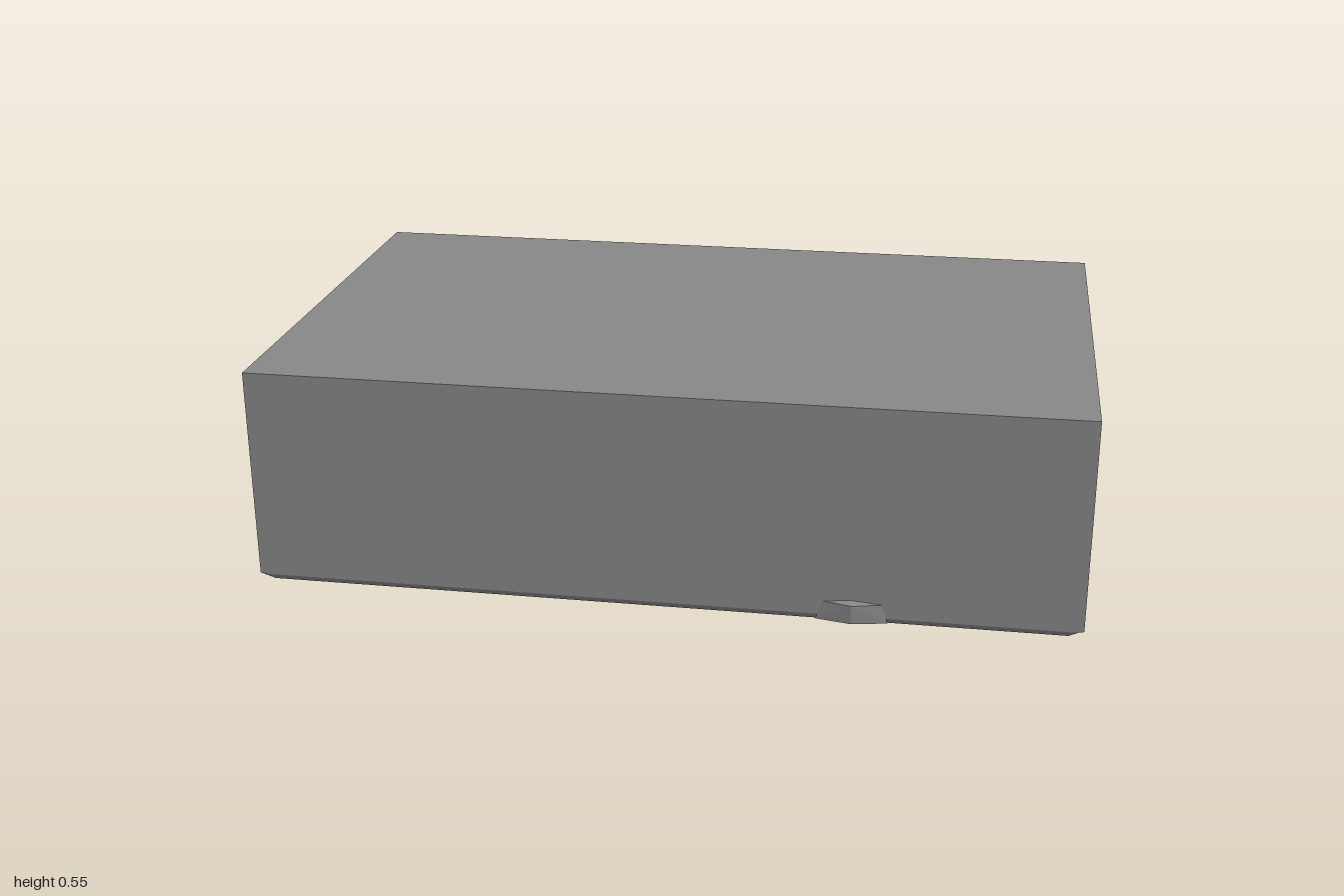
import * as THREE from 'three';
import { ConvexGeometry } from 'three/addons/geometries/ConvexGeometry.js';

const FRONT = 0.6, BACK = -0.615, TOP = 0.55, SEAM = 0.04;

// Arch-shaped cross-section, open at the bottom, extruded along x
function archSlice(x0, x1, z0, z1, ceiling) {
  const s = new THREE.Shape();
  const pts = [[BACK, SEAM], [z0, SEAM], [z0, ceiling], [z1, ceiling], [z1, SEAM], [FRONT, SEAM], [FRONT, TOP], [BACK, TOP]];
  // shape x becomes -z after the turn
  pts.forEach(([z, y], i) => (i ? s.lineTo(-z, y) : s.moveTo(-z, y)));
  s.closePath();
  const g = new THREE.ExtrudeGeometry(s, { depth: x1 - x0, bevelEnabled: false });
  g.rotateY(Math.PI / 2);
  g.translate(x0, 0, 0);
  return g;
}

// Base plate lofted along z, its bottom edges chamfered
function baseGeometry() {
  const sections = [];
  const add = (z, h, bx, by) => sections.push([[1, SEAM], [1, h], [bx, by], [-bx, by], [-1, h], [-1, SEAM]].map(([x, y]) => [x, y, z]));
  add(BACK, 0.025, 0.985, 0.022);
  add(BACK + 0.008, 0.024, 0.965, 0.008);
  for (let i = 0; i <= 12; i++) {
    const z = -0.595 + (1.17 * i) / 12;
    // the end chamfer gets shallower towards the middle
    const t = Math.min(1, Math.max(0, (0.42 - Math.abs(z)) / 0.32));
    add(z, 0.025 - 0.016 * t, 0.955, 0);
  }
  add(FRONT - 0.008, 0.024, 0.965, 0.008);
  add(FRONT, 0.025, 0.985, 0.022);

  const pos = [];
  const tri = (a, b, c) => pos.push(...a, ...b, ...c);
  for (let s = 0; s < sections.length - 1; s++) {
    const A = sections[s], B = sections[s + 1];
    for (let i = 0; i < 6; i++) {
      const j = (i + 1) % 6;
      tri(A[i], B[j], B[i]);
      tri(A[i], A[j], B[j]);
    }
  }
  const first = sections[0], last = sections[sections.length - 1];
  for (let i = 1; i < 5; i++) {
    tri(first[0], first[i + 1], first[i]);
    tri(last[0], last[i], last[i + 1]);
  }
  const g = new THREE.BufferGeometry();
  g.setAttribute('position', new THREE.Float32BufferAttribute(pos, 3));
  // corners wind clockwise seen from outside, so swap two of each three
  const p = g.attributes.position, a = new THREE.Vector3(), b = new THREE.Vector3(), c = new THREE.Vector3();
  a.fromBufferAttribute(p, 0); b.fromBufferAttribute(p, 1); c.fromBufferAttribute(p, 2);
  const n = b.clone().sub(a).cross(c.clone().sub(a));
  if (n.x < 0) {
    for (let i = 0; i < p.count; i += 3) {
      b.fromBufferAttribute(p, i + 1); c.fromBufferAttribute(p, i + 2);
      p.setXYZ(i + 1, c.x, c.y, c.z); p.setXYZ(i + 2, b.x, b.y, b.z);
    }
  }
  g.computeVertexNormals();
  return g;
}

// Small thumb catch with a peaked front and a bowed top
function catchGeometry() {
  const pts = [], cx = 0.46;
  for (const u of [-1, -0.5, 0, 0.5, 1]) {
    const bow = 1 - u * u, out = FRONT + 0.017 * (1 - Math.abs(u));
    pts.push(
      new THREE.Vector3(cx + 0.07 * u, 0.057 + 0.01 * bow, FRONT - 0.01),
      new THREE.Vector3(cx + 0.07 * u, 0.057, out),
      new THREE.Vector3(cx + 0.085 * u, 0.01, out),
      new THREE.Vector3(cx + 0.085 * u, 0.01, FRONT - 0.01));
  }
  return new ConvexGeometry(pts);
}

export function createModel() {
  const group = new THREE.Group();
  const grey = new THREE.MeshStandardMaterial({ color: 0x888888 });
  grey.name = 'plain grey';
  const add = (name, geometry) => {
    const m = new THREE.Mesh(geometry, grey);
    m.name = name;
    group.add(m);
  };

  // Hollow cover, then the two end walls with their slots
  add('cover', archSlice(-0.98, 0.98, -0.44, 0.43, 0.42));
  add('leftEndWall', archSlice(0.98, 1, -0.11, 0.095, 0.365));
  add('rightEndWall', archSlice(-1, -0.98, -0.11, 0.095, 0.365));
  add('basePlate', baseGeometry());
  add('thumbCatch', catchGeometry());
  return group;
}
